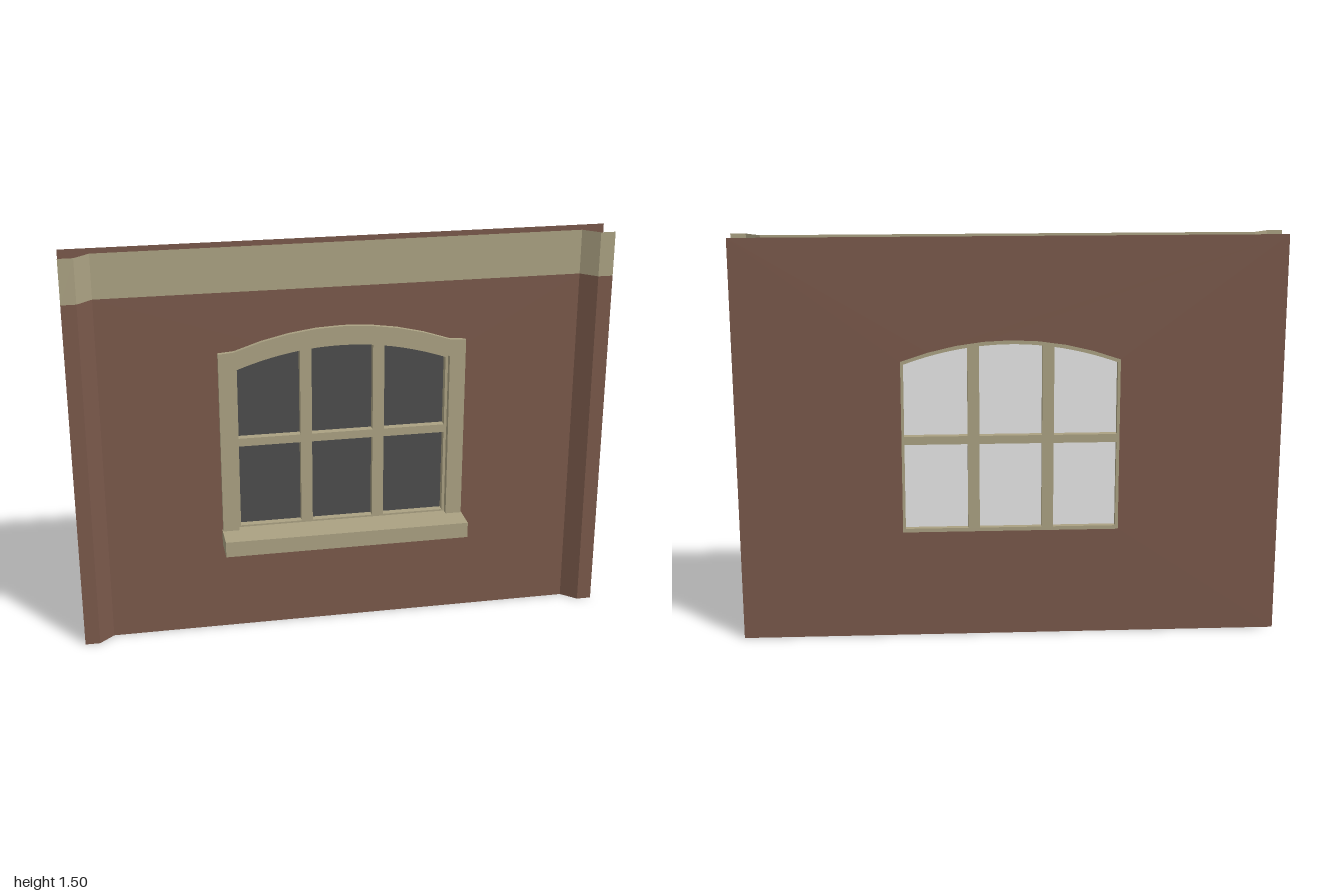
import * as THREE from 'three';

const mat = (name, color, side = THREE.FrontSide) => {
  const m = new THREE.MeshStandardMaterial({ color, side });
  m.name = name;
  return m;
};

// Points along the shallow window arch, from x0 to x1
const arch = (x0, x1, spring, n = 8) =>
  Array.from({ length: n + 1 }, (_, i) => {
    const x = x0 + ((x1 - x0) * i) / n;
    return new THREE.Vector2(x, spring + 0.075 * (1 - (x / 0.4) ** 2));
  });

// Closed outline with a flat bottom and an arched top
const archedOutline = (x0, x1, bottom, spring) => [
  new THREE.Vector2(x0, bottom),
  new THREE.Vector2(x1, bottom),
  ...arch(x1, x0, spring),
];

const rectOutline = (x0, x1, y0, y1) => [
  new THREE.Vector2(x0, y0), new THREE.Vector2(x1, y0),
  new THREE.Vector2(x1, y1), new THREE.Vector2(x0, y1),
];

const shapeOf = (outline, holes = []) => {
  const s = new THREE.Shape(outline);
  s.holes = holes.map((h) => new THREE.Path(h));
  return s;
};

export function createModel() {
  const root = new THREE.Group();
  root.name = 'wallWithWindow';
  const brick = mat('brown wall', 0x79584a, THREE.DoubleSide);
  const band = mat('stone band', 0xaaa182, THREE.DoubleSide);
  const trim = mat('stone trim', 0xaaa182);
  trim.color.set(0xaaa182);
  const darkGlass = mat('dark glass', 0x4c4c4c);
  const lightGlass = mat('light glass', 0xf0f0f0);

  const add = (name, geometry, material, z = 0) => {
    const mesh = new THREE.Mesh(geometry, material);
    mesh.name = name;
    mesh.position.z = z;
    root.add(mesh);
    return mesh;
  };
  const extrude = (name, shape, z0, z1) =>
    add(name, new THREE.ExtrudeGeometry(shape, { depth: z1 - z0, bevelEnabled: false }), trim, z0);

  // Upright strip of wall between two plan points
  const strip = (name, [xa, za], [xb, zb], y0, y1, material) => {
    const g = new THREE.PlaneGeometry(Math.hypot(xb - xa, zb - za), y1 - y0);
    g.rotateY(-Math.atan2(zb - za, xb - xa));
    g.translate((xa + xb) / 2, (y0 + y1) / 2, (za + zb) / 2);
    add(name, g, material);
  };

  const H = 1.5, BAND = 1.335, FRONT = -0.02, BACK = -0.095;
  const opening = archedOutline(-0.4, 0.4, 0.405, 1.05);

  // Front sheet with raised edges, and the pale band along its top
  add('frontWall', new THREE.ShapeGeometry(shapeOf(rectOutline(-0.89, 0.89, 0, BAND), [opening])), brick, FRONT);
  strip('topBand', [-0.89, FRONT], [0.89, FRONT], BAND, H, band);
  const plan = [[-1, 0.03], [-0.945, 0.03], [-0.89, FRONT]];
  const mirrored = plan.map(([x, z]) => [-x, z]).reverse();
  for (const side of [plan, mirrored]) {
    for (let i = 0; i < 2; i++) {
      strip('edgePilaster', side[i], side[i + 1], 0, BAND, brick);
      strip('edgePilasterBand', side[i], side[i + 1], BAND, H, band);
    }
  }

  // Back sheet
  const back = add('backWall', new THREE.ShapeGeometry(shapeOf(rectOutline(-1, 1, 0, H), [opening])), brick, BACK);
  back.rotation.y = Math.PI;

  // Window surround with square shoulders beside the arch
  const surround = [
    new THREE.Vector2(-0.46, 0.35), new THREE.Vector2(0.46, 0.35),
    new THREE.Vector2(0.46, 1.11),
    ...arch(0.4, -0.4, 1.115),
    new THREE.Vector2(-0.46, 1.11),
  ];
  extrude('windowSurround', shapeOf(surround, [opening]), -0.03, -0.003);

  // Projecting sill
  const sill = add('windowSill', new THREE.BoxGeometry(0.925, 0.06, 0.125), trim, 0.0325);
  sill.position.y = 0.379;

  // Two sashes, each with three panes
  const panes = [[-0.39, -0.158], [-0.115, 0.115], [0.158, 0.39]];
  extrude('upperSash',
    shapeOf(archedOutline(-0.4, 0.4, 0.745, 1.05), panes.map(([a, b]) => archedOutline(a, b, 0.77, 1.035))),
    -0.092, -0.028);
  extrude('lowerSash',
    shapeOf(rectOutline(-0.4, 0.4, 0.405, 0.745), panes.map(([a, b]) => rectOutline(a, b, 0.416, 0.738))),
    -0.086, -0.03);

  // Glass, dark outside and light inside
  const glass = () => new THREE.ShapeGeometry(shapeOf(archedOutline(-0.395, 0.395, 0.41, 1.042)));
  add('outerGlass', glass(), darkGlass, -0.057);
  add('innerGlass', glass(), lightGlass, -0.063).rotation.y = Math.PI;

  return root;
}
